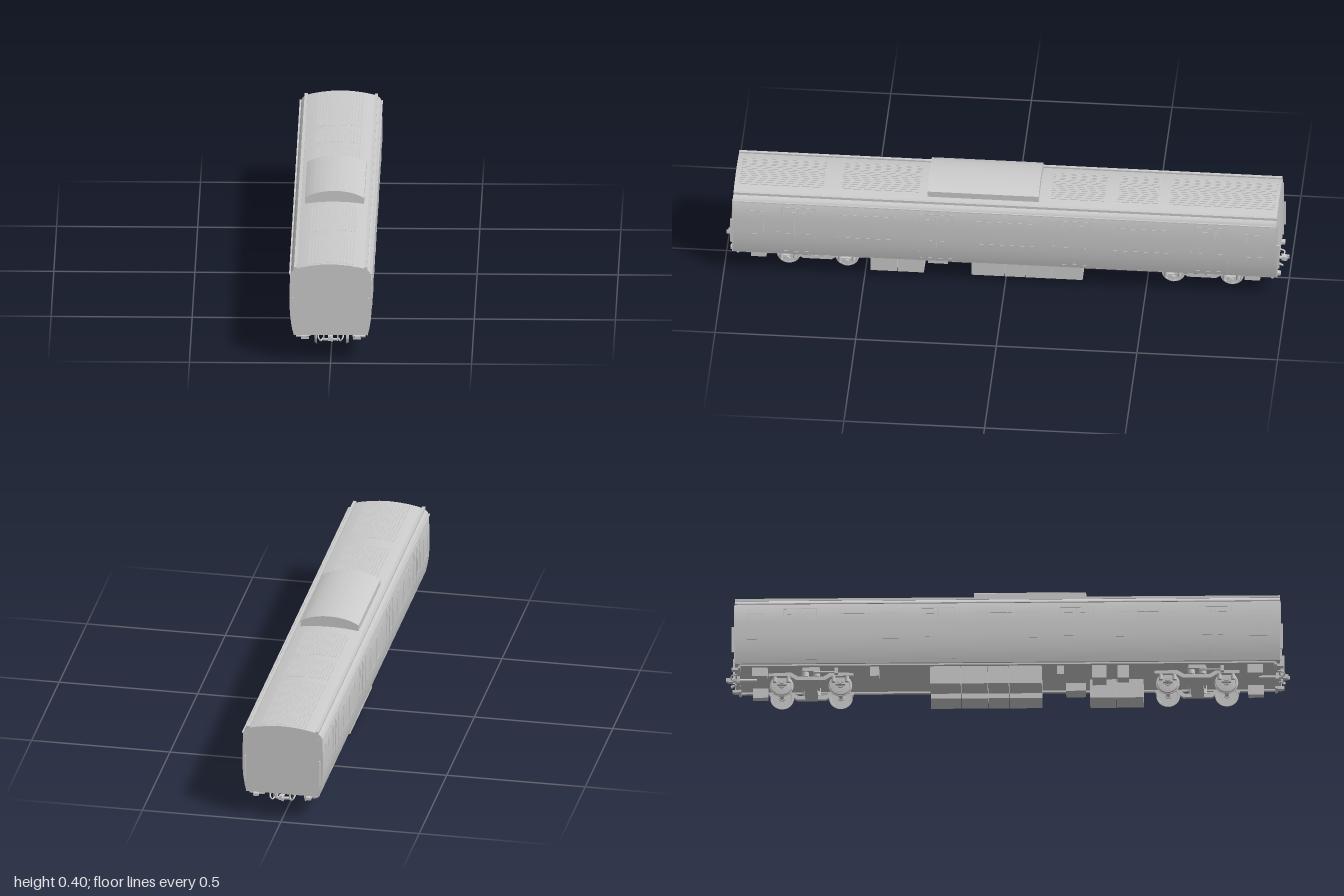
import * as THREE from 'three';
import { toCreasedNormals } from 'three/addons/utils/BufferGeometryUtils.js';

const mat = new THREE.MeshStandardMaterial({ color: 0xcccccc });
const HALF = 0.966; // half length of the body shell

// Half cross-section of the shell, from the sill up to the roof crown
const PROFILE = [
  [0.131, 0.096], [0.137, 0.12], [0.1425, 0.155], [0.1455, 0.195], [0.1455, 0.25], [0.143, 0.32],
  [0.138, 0.332], [0.127, 0.342], [0.1, 0.349], [0.07, 0.3545], [0.035, 0.3585], [0, 0.36],
];

// Half width of the side wall at height y
function sideX(y) {
  for (let i = 0; i < 5; i++) {
    const [x0, y0] = PROFILE[i], [x1, y1] = PROFILE[i + 1];
    if (y <= y1) return x0 + (x1 - x0) * (y - y0) / (y1 - y0);
  }
  return 0.143;
}

// Roof height at distance x from the centre line
function roofY(x) {
  const a = Math.abs(x);
  for (let i = 7; i < 11; i++) {
    const [x0, y0] = PROFILE[i], [x1, y1] = PROFILE[i + 1];
    if (a >= x1) return y0 + (y1 - y0) * (a - x0) / (x1 - x0);
  }
  return 0.36;
}

function add(parent, name, geo, x = 0, y = 0, z = 0) {
  const m = new THREE.Mesh(geo, mat);
  m.name = name;
  m.position.set(x, y, z);
  parent.add(m);
  return m;
}

// Box given by its limits
const span = (p, name, x0, x1, y0, y1, z0, z1) => add(p, name,
  new THREE.BoxGeometry(x1 - x0, y1 - y0, z1 - z0), (x0 + x1) / 2, (y0 + y1) / 2, (z0 + z1) / 2);

const rod = (r, len, axis, n = 16) => {
  const g = new THREE.CylinderGeometry(r, r, len, n);
  return axis === 'x' ? g.rotateZ(Math.PI / 2) : axis === 'z' ? g.rotateX(Math.PI / 2) : g;
};

// Extrusion along z, centred on z = 0
function prism(shape, len) {
  const g = new THREE.ExtrudeGeometry(shape, { depth: len, bevelEnabled: false, curveSegments: 16 });
  return toCreasedNormals(g.translate(0, 0, -len / 2), 0.45);
}

// Thin strip that hugs the curved side wall
function sideStrip(p, name, s, y0, y1, z0, z1, out = 0.0012) {
  const g = new THREE.BoxGeometry(0.004, y1 - y0, z1 - z0, 1, Math.max(1, Math.ceil((y1 - y0) / 0.02)), 1);
  g.translate(0, (y0 + y1) / 2, (z0 + z1) / 2);
  const a = g.attributes.position;
  for (let i = 0; i < a.count; i++) a.setX(i, s * (sideX(a.getY(i)) + out - 0.002) + a.getX(i));
  g.computeVertexNormals();
  add(p, name, g);
}

function sideFrame(p, name, s, y0, y1, z0, z1) {
  const t = 0.003;
  sideStrip(p, name, s, y0, y0 + t, z0, z1);
  sideStrip(p, name, s, y1 - t, y1, z0, z1);
  sideStrip(p, name, s, y0 + t, y1 - t, z0, z0 + t);
  sideStrip(p, name, s, y0 + t, y1 - t, z1 - t, z1);
}

function makeShell() {
  const g = new THREE.Group();
  g.name = 'bodyShell';
  const pts = [...PROFILE, ...PROFILE.slice(0, -1).reverse().map(([x, y]) => [-x, y])];
  add(g, 'body', prism(new THREE.Shape(pts.map(p => new THREE.Vector2(...p))), HALF * 2));

  for (const s of [-1, 1]) {
    // Rain gutter and roof edge rail
    add(g, 'gutter', new THREE.BoxGeometry(0.006, 0.003, HALF * 2), s * 0.1445, 0.323, 0);
    add(g, 'roofEdgeRail', new THREE.BoxGeometry(0.011, 0.009, HALF * 2), s * 0.1245, 0.3455, 0);

    // Doorways: outline, meeting edge, one window in each leaf
    for (const z of [-0.735, -0.245, 0.245, 0.735]) {
      sideFrame(g, 'doorFrame', s, 0.108, 0.305, z - 0.06, z + 0.06);
      sideStrip(g, 'doorMeetingEdge', s, 0.115, 0.3, z - 0.002, z + 0.002, 0.002);
      for (const d of [-0.028, 0.028]) sideFrame(g, 'doorWindow', s, 0.19, 0.285, z + d - 0.017, z + d + 0.017);
      sideStrip(g, 'doorButton', s, 0.19, 0.2, z + 0.068, z + 0.074, 0.002);
    }
    // Saloon windows with a mullion, and small end windows
    for (const z of [-0.49, 0, 0.49]) {
      sideFrame(g, 'saloonWindow', s, 0.185, 0.285, z - 0.105, z + 0.105);
      sideStrip(g, 'windowMullion', s, 0.188, 0.282, z - 0.0015, z + 0.0015);
    }
    for (const z of [-0.89, 0.89]) sideFrame(g, 'endWindow', s, 0.185, 0.285, z - 0.032, z + 0.032);

    // Corner posts and handrails on both ends
    for (const e of [-1, 1]) {
      add(g, 'cornerPost', new THREE.BoxGeometry(0.003, 0.225, 0.005), s * 0.13, 0.209, e * (HALF + 0.001));
      add(g, 'endHandrail', new THREE.BoxGeometry(0.004, 0.098, 0.012), s * 0.134, 0.188, e * (HALF + 0.005));
    }
  }

  // Ribbed roof panels
  for (const [z0, z1] of [[-0.955, -0.58], [-0.54, -0.395], [-0.35, -0.16], [0.31, 0.585], [0.65, 0.95]])
    for (let i = -7; i <= 7; i++) {
      const x = i * 0.011;
      span(g, 'roofRib', x - 0.002, x + 0.002, roofY(x) - 0.002, roofY(x) + 0.0012, z0, z1);
    }
  return g;
}

// Arched unit above the roof, with a curved underside
function makeRoofUnit() {
  const s = new THREE.Shape();
  s.moveTo(-0.105, 0.355);
  s.quadraticCurveTo(0, 0.371, 0.105, 0.355);
  s.lineTo(0.105, 0.377);
  s.bezierCurveTo(0.075, 0.396, 0.035, 0.403, 0, 0.403);
  s.bezierCurveTo(-0.035, 0.403, -0.075, 0.396, -0.105, 0.377);
  s.closePath();
  const g = new THREE.Group();
  g.name = 'roofUnit';
  add(g, 'roofUnitHousing', prism(s, 0.396), 0, 0, 0.08);
  for (const z of [-0.08, 0.24]) add(g, 'roofUnitMount', new THREE.BoxGeometry(0.15, 0.012, 0.02), 0, 0.356, z);
  return g;
}

function makeBogie() {
  const g = new THREE.Group();
  g.name = 'bogie';
  // Wheel section: hub, web, tread and flange
  const wheelPts = [[0.001, -0.006], [0.01, -0.006], [0.011, -0.002], [0.034, -0.002], [0.035, -0.004], [0.042, -0.004],
    [0.042, -0.0015], [0.0385, 0], [0.0375, 0.005], [0.034, 0.005], [0.033, 0.001], [0.011, 0.001], [0.01, 0.006], [0.001, 0.006]];
  const wheel = toCreasedNormals(new THREE.LatheGeometry(wheelPts.map(p => new THREE.Vector2(...p)), 32), 0.5)
    .rotateZ(-Math.PI / 2);
  for (const z of [-0.104, 0.104]) {
    add(g, 'axle', rod(0.007, 0.172, 'x'), 0, 0.045, z);
    for (const s of [-1, 1]) {
      add(g, 'wheel', wheel, s * 0.056, 0.044, z).rotation.y = s < 0 ? Math.PI : 0;
      add(g, 'axleBox', new THREE.BoxGeometry(0.014, 0.024, 0.034), s * 0.082, 0.046, z);
      add(g, 'axleBoxCover', rod(0.01, 0.008, 'x'), s * 0.091, 0.045, z);
      for (const d of [-0.024, 0.024]) add(g, 'primarySpring', rod(0.007, 0.024, 'y', 12), s * 0.082, 0.057, z + d);
    }
  }
  // Swan-necked side frames, drawn in z and y
  const outline = [[-0.15, 0.066], [-0.075, 0.066], [-0.05, 0.05], [0.05, 0.05], [0.075, 0.066], [0.15, 0.066],
    [0.15, 0.077], [0.07, 0.08], [0.045, 0.064], [-0.045, 0.064], [-0.07, 0.08], [-0.15, 0.077]];
  const frame = prism(new THREE.Shape(outline.map(p => new THREE.Vector2(...p))), 0.014).rotateY(Math.PI / 2);
  for (const s of [-1, 1]) {
    add(g, 'sideFrame', frame, s * 0.082, 0, 0);
    for (const d of [-0.02, 0.02]) add(g, 'secondarySpring', rod(0.013, 0.032, 'y'), s * 0.082, 0.08, d);
    add(g, 'damper', rod(0.004, 0.08, 'z', 10), s * 0.099, 0.076, 0.05);
    add(g, 'damperBracket', new THREE.BoxGeometry(0.02, 0.022, 0.012), s * 0.095, 0.08, 0.09);
  }
  add(g, 'bolster', new THREE.BoxGeometry(0.2, 0.014, 0.06), 0, 0.088, 0);
  add(g, 'transom', new THREE.BoxGeometry(0.16, 0.014, 0.045), 0, 0.057, 0);
  add(g, 'centrePivot', rod(0.018, 0.04, 'y'), 0, 0.078, 0);
  return g;
}

// Coupler, pipes and brackets below the end of the body, pointing to +z
function makeCoupler() {
  const g = new THREE.Group();
  g.name = 'coupler';
  add(g, 'drawbar', rod(0.006, 0.09, 'z'), 0, 0.09, 0.935);
  add(g, 'couplerHead', new THREE.BoxGeometry(0.018, 0.016, 0.016), 0, 0.09, 0.982);
  add(g, 'couplerJaw', new THREE.BoxGeometry(0.007, 0.013, 0.014), 0.006, 0.09, 0.993);
  add(g, 'couplerJaw', new THREE.BoxGeometry(0.005, 0.011, 0.008), -0.007, 0.09, 0.99);
  add(g, 'couplerSupport', new THREE.BoxGeometry(0.05, 0.006, 0.012), 0, 0.076, 0.955);
  for (const s of [-1, 1]) {
    add(g, 'supportHanger', new THREE.BoxGeometry(0.005, 0.024, 0.01), s * 0.025, 0.087, 0.955);
    add(g, 'endPipe', rod(0.005, 0.045, 'x', 10), s * 0.1, 0.088, 0.95);
    add(g, 'jumperBox', new THREE.BoxGeometry(0.018, 0.01, 0.026), s * 0.095, 0.09, 0.965);
    add(g, 'hose', new THREE.TubeGeometry(new THREE.CatmullRomCurve3([[0.045, 0.096, 0.955], [0.042, 0.088, 0.98],
      [0.034, 0.079, 0.978], [0.028, 0.085, 0.968]].map(([x, y, z]) => new THREE.Vector3(s * x, y, z))), 12, 0.003, 8));
    span(g, 'endEquipmentBox', s * 0.092 - 0.014, s * 0.092 + 0.014, 0.06, 0.098, 0.85, 0.905);
  }
  return g;
}

function makeUnderframe() {
  const g = new THREE.Group();
  g.name = 'underframe';
  // Long equipment cases on both sides, split into modules
  for (const s of [-1, 1]) {
    const cuts = [0.122, 0.005, -0.07, -0.165, -0.275];
    for (let i = 0; i < 4; i++)
      span(g, 'equipmentCase', s * 0.063 - 0.043, s * 0.063 + 0.043, 0.025, 0.099, cuts[i + 1] + 0.001, cuts[i] - 0.001);
    span(g, 'soleBar', s * 0.118 - 0.006, s * 0.118 + 0.006, 0.09, 0.1, -0.95, 0.95);
  }
  for (const [z0, z1] of [[0.29, 0.383], [0.385, 0.48]]) span(g, 'frontCase', 0.02, 0.107, 0.025, 0.099, z0, z1);
  span(g, 'airTankBox', 0.05, 0.105, 0.066, 0.099, 0.205, 0.275);
  span(g, 'smallCase', -0.105, -0.05, 0.06, 0.099, 0.175, 0.2);
  span(g, 'smallCase', -0.105, -0.04, 0.045, 0.099, 0.3, 0.35);
  span(g, 'smallCase', -0.105, -0.06, 0.045, 0.099, 0.39, 0.43);
  span(g, 'rearCase', -0.1, -0.05, 0.06, 0.099, -0.487, -0.455);
  return g;
}

export function createModel() {
  const model = new THREE.Group();
  model.name = 'railCarriage';
  model.add(makeShell(), makeRoofUnit(), makeUnderframe());
  for (const z of [0.671, -0.697]) {
    const bogie = makeBogie();
    bogie.position.z = z;
    model.add(bogie);
  }
  const front = makeCoupler(), back = makeCoupler();
  back.rotation.y = Math.PI;
  model.add(front, back);
  return model;
}
